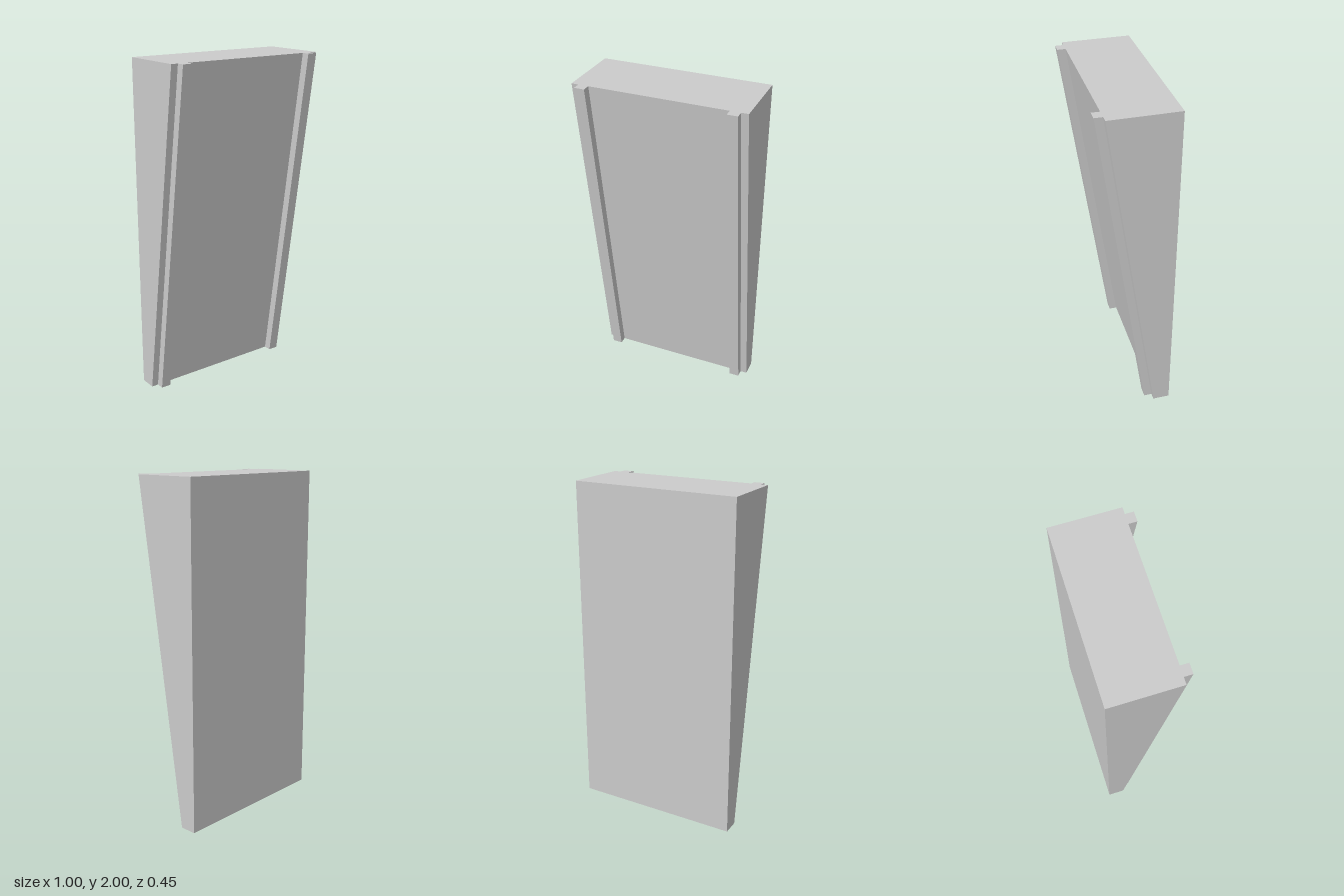
import * as THREE from 'three';

const HEIGHT = 2;
const material = new THREE.MeshStandardMaterial({ color: 0xcccccc, flatShading: true });

// Extrudes a side profile of [z, y] points across x, centred on centreX
function slab(name, profile, width, centreX) {
  const shape = new THREE.Shape(profile.map(([z, y]) => new THREE.Vector2(z, y)));
  const geometry = new THREE.ExtrudeGeometry(shape, { depth: width, bevelEnabled: false });
  geometry.translate(0, 0, -width / 2).rotateY(-Math.PI / 2);
  const mesh = new THREE.Mesh(geometry, material);
  mesh.name = name;
  mesh.position.x = centreX;
  return mesh;
}

export function createModel() {
  const group = new THREE.Group();
  group.name = 'taperedPanel';

  // Wedge body: upright back, front leaning outwards towards the top
  const back = -0.224, bottomFront = -0.124, topFront = 0.176;
  group.add(slab('body', [
    [back, 0], [bottomFront, 0], [topFront, HEIGHT], [back, HEIGHT],
  ], 1, 0));

  // Two raised rails running up the sloping front
  const raise = 0.048;
  for (const [name, side] of [['leftRail', 1], ['rightRail', -1]]) {
    group.add(slab(name, [
      [bottomFront, 0], [bottomFront + raise, 0],
      [topFront + raise, HEIGHT], [topFront, HEIGHT],
    ], 0.06, side * 0.429));
  }
  return group;
}
